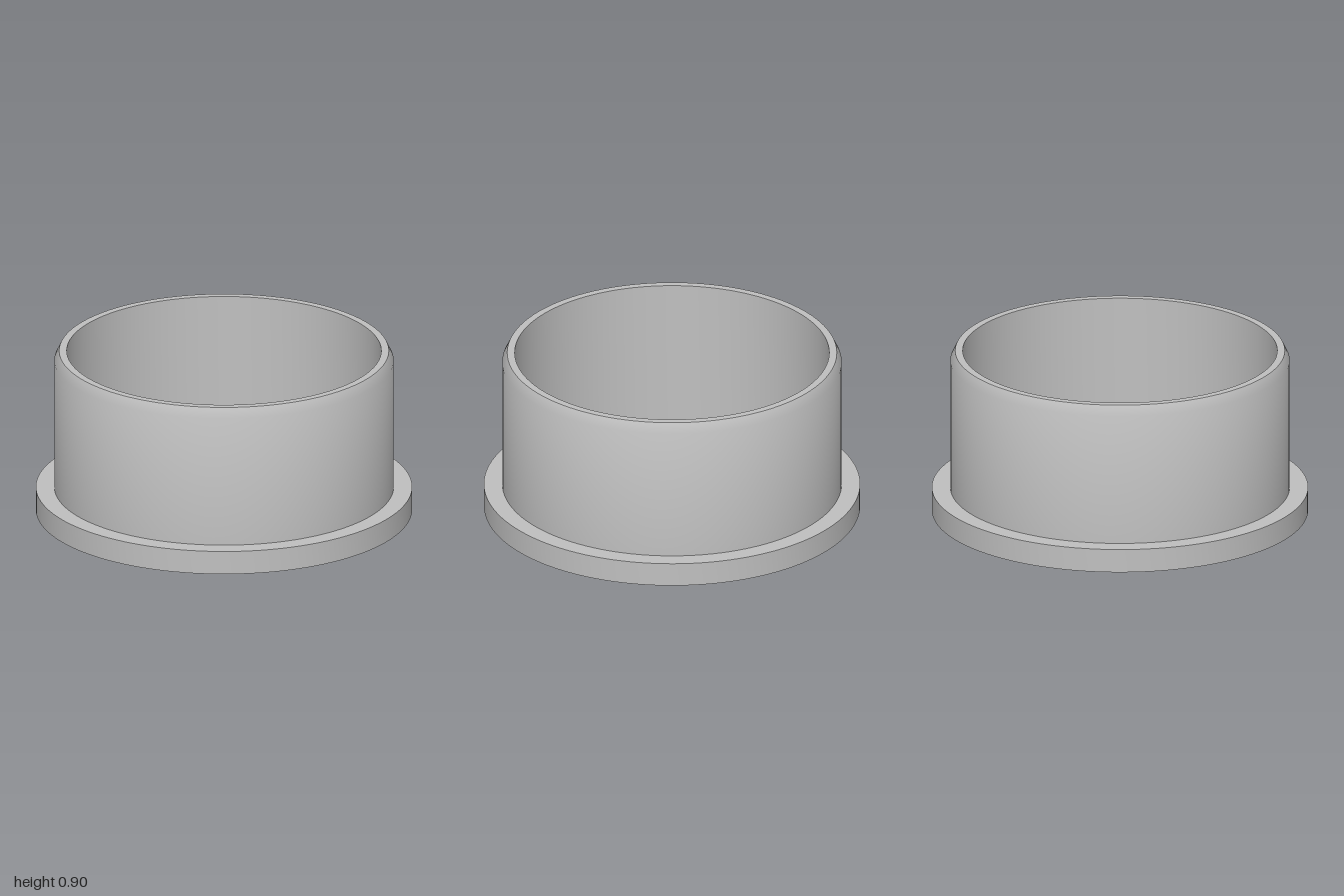
import * as THREE from 'three';
import { toCreasedNormals } from 'three/addons/utils/BufferGeometryUtils.js';

export function createModel() {
  const group = new THREE.Group();
  group.name = 'flangedBushing';

  const grey = new THREE.MeshStandardMaterial({ color: 0xc0c0c0 });
  grey.name = 'light grey';

  // Closed cross-section [radius, height], up the outside and down the bore
  const profile = [
    [0.88, 0], [1, 0], [1, 0.128], // flange
    [0.902, 0.128], [0.902, 0.845], // sleeve wall
    [0.876, 0.898], [0.836, 0.898], // outer chamfer and top rim
    [0.836, 0.045], [0.88, 0], // bore and its lower chamfer
  ].map(([r, y]) => new THREE.Vector2(r, y));

  // Smooth round walls, sharp rims; the shallow top chamfer blends into the wall
  const ring = toCreasedNormals(new THREE.LatheGeometry(profile, 128), Math.PI / 6);
  const bushing = new THREE.Mesh(ring, grey);
  bushing.name = 'flangedSleeve';
  group.add(bushing);

  return group;
}
